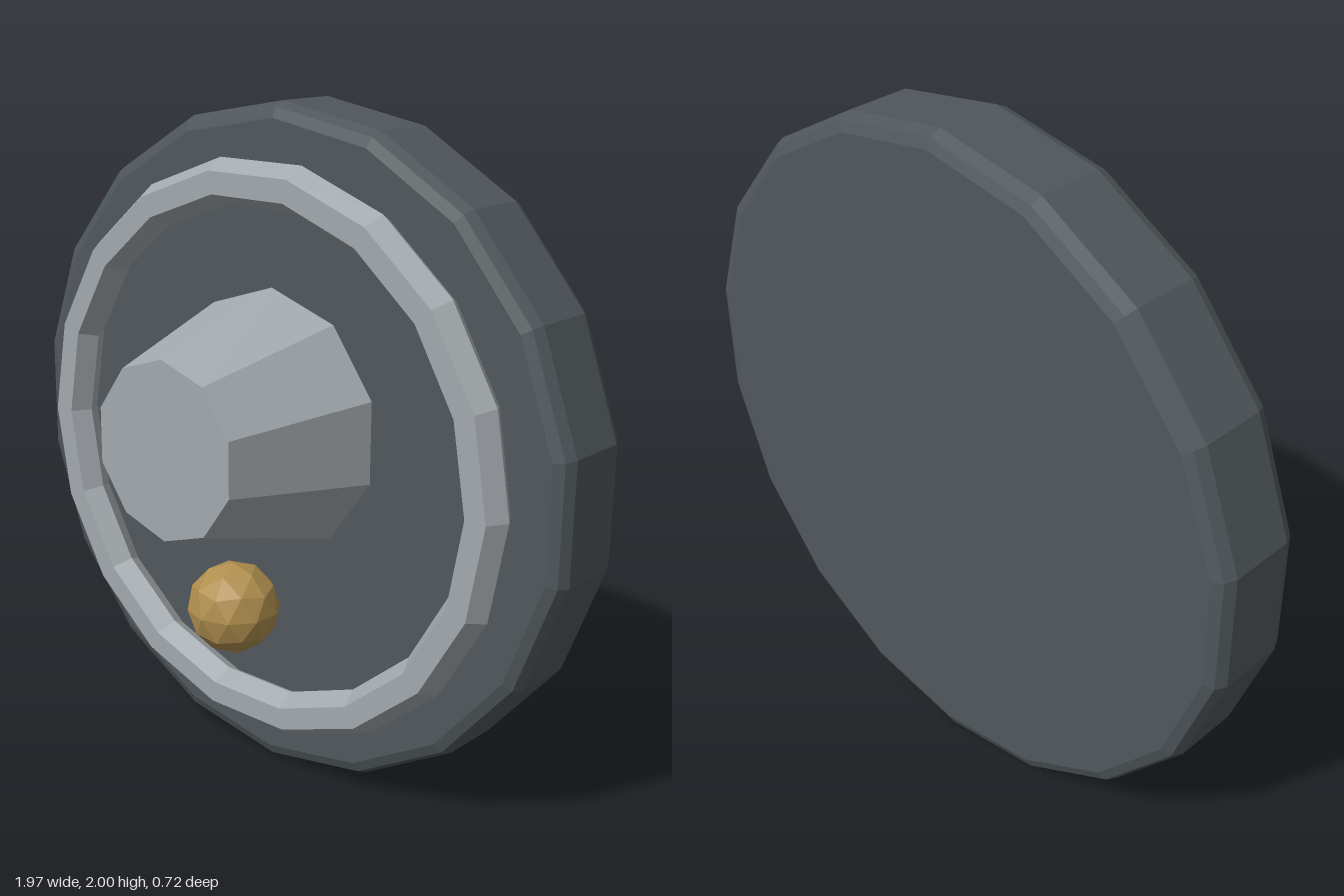
import * as THREE from 'three';

const material = (color) => new THREE.MeshStandardMaterial({ color, flatShading: true });

// Faceted solid turned around the z axis; profile holds [radius, z] pairs from back to front
function turned(profile, sides) {
  const points = profile.map(([r, z]) => new THREE.Vector2(r, z));
  return new THREE.LatheGeometry(points, sides).rotateX(Math.PI / 2);
}

export function createModel() {
  const model = new THREE.Group();
  const dark = material(0x50575b);
  const light = material(0xa3a9ad);
  const brass = material(0xb08f4e);

  const add = (name, geometry, mat, y, z = 0) => {
    const mesh = new THREE.Mesh(geometry, mat);
    mesh.name = name;
    mesh.position.set(0, y, z);
    model.add(mesh);
  };

  // Thick round plate with bevelled rims
  add('plate', turned([
    [0, -0.36], [0.955, -0.36], [0.985, -0.347], [1, -0.315],
    [1, -0.125], [0.985, -0.093], [0.955, -0.08], [0, -0.08],
  ], 18), dark, 1);

  // Six-sided raised ring on the face
  add('ring', new THREE.TorusGeometry(0.79, 0.066, 6, 18), light, 1, -0.03);

  // Tapered ten-sided knob
  add('knob', turned([[0, -0.09], [0.388, -0.09], [0.257, 0.36], [0, 0.36]], 10), light, 1.1);

  // Faceted bead below the knob, turned so a corner points straight up
  const bead = new THREE.IcosahedronGeometry(0.137, 1);
  bead.rotateZ(-Math.atan(2 / (1 + Math.sqrt(5))));
  add('bead', bead, brass, 0.562, 0.082);

  return model;
}
